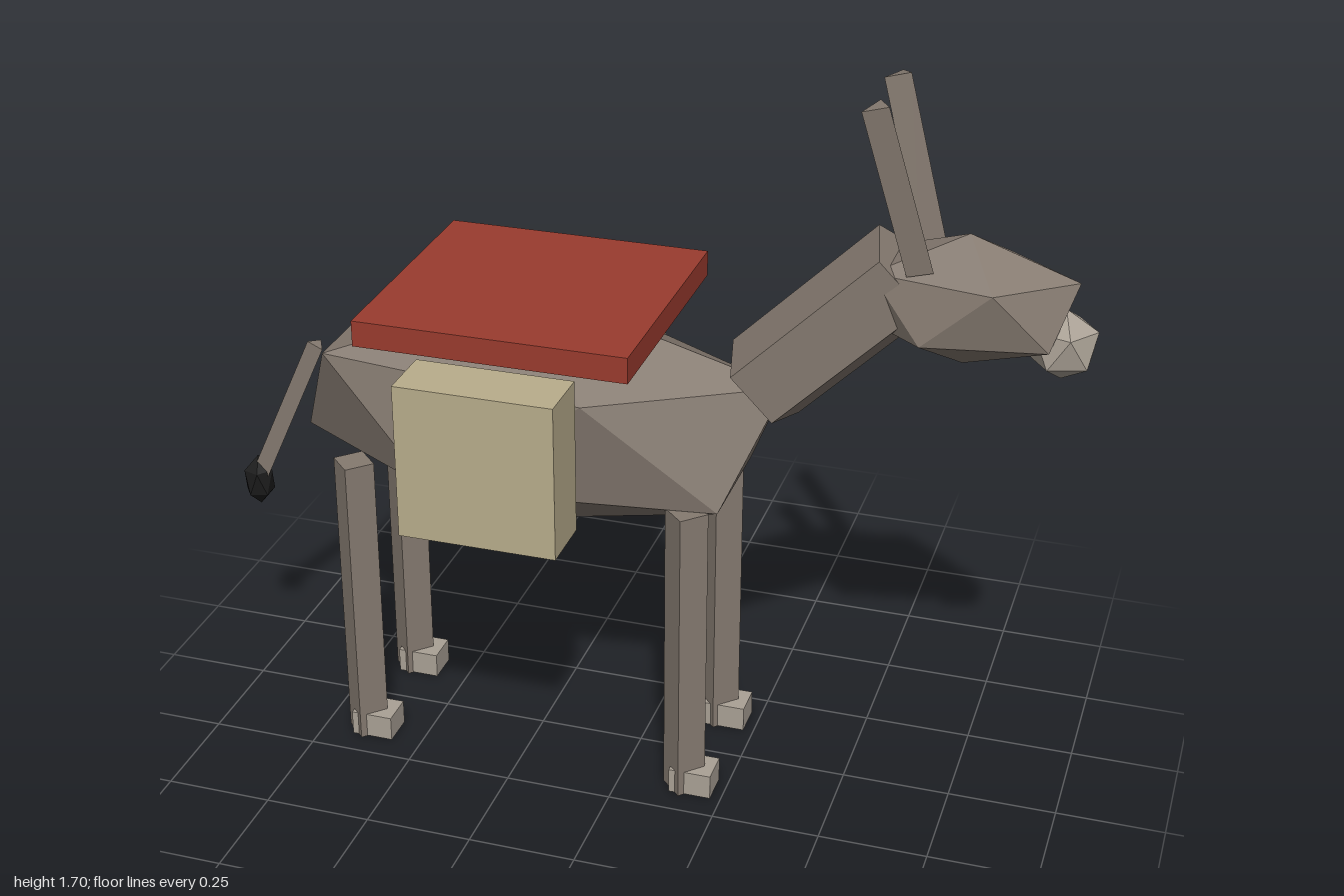
import * as THREE from 'three';

const mat = (name, color) => {
  const m = new THREE.MeshStandardMaterial({ color, flatShading: true });
  m.name = name;
  return m;
};

export function createModel() {
  const group = new THREE.Group();
  const coat = mat('greyBrownCoat', 0x857a70);
  const pale = mat('paleGrey', 0xaaa195);
  const dark = mat('black', 0x1b1b1b);
  const red = mat('redBlanket', 0x9a3b2e);
  const sand = mat('sandCanvas', 0xb9ad8c);

  const add = (name, geometry, material, x, y, z) => {
    const mesh = new THREE.Mesh(geometry, material);
    mesh.name = name;
    mesh.position.set(x, y, z);
    group.add(mesh);
    return mesh;
  };

  const box = (name, material, [w, h, d], [x, y, z]) =>
    add(name, new THREE.BoxGeometry(w, h, d), material, x, y, z);

  // Stretched icosahedron standing on one corner, upper ring pointing to +x
  const gem = (name, material, [rx, ry, rz], [x, y, z]) => {
    const g = new THREE.IcosahedronGeometry(1, 0);
    g.rotateZ(-Math.atan(2 / (1 + Math.sqrt(5))));
    g.scale(rx, ry, rz);
    return add(name, g, material, x, y, z);
  };

  // Prism between two points, with one edge facing -z
  const rod = (name, material, from, to, radius, sides) => {
    const a = new THREE.Vector3(...from), b = new THREE.Vector3(...to);
    const g = new THREE.CylinderGeometry(radius, radius, a.distanceTo(b), sides);
    g.rotateY(Math.PI);
    const mid = a.clone().add(b).multiplyScalar(0.5);
    const mesh = add(name, g, material, mid.x, mid.y, mid.z);
    mesh.quaternion.setFromUnitVectors(new THREE.Vector3(0, 1, 0), b.sub(a).normalize());
    return mesh;
  };

  // Body, neck and head
  gem('body', coat, [0.643, 0.29, 0.268], [-0.245, 0.86, 0]);
  rod('neck', coat, [0.278, 0.995, 0], [0.592, 1.306, 0], 0.115, 5);
  gem('head', coat, [0.263, 0.148, 0.15], [0.715, 1.254, 0]);
  gem('muzzle', pale, [0.08, 0.08, 0.08], [0.924, 1.18, 0]);

  // Tail
  rod('tail', coat, [-0.962, 0.565, 0], [-0.79, 0.94, 0], 0.023, 3);
  gem('tailTuft', dark, [0.039, 0.065, 0.04], [-0.966, 0.555, 0]);

  // Mirrored ears, panniers, legs and hooves
  for (const s of [1, -1]) {
    const side = s > 0 ? 'left' : 'right';
    rod(side + 'Ear', coat, [0.63, 1.335, s * 0.073], [0.528, 1.695, s * 0.108], 0.034, 3);
    box(side + 'Pannier', sand, [0.362, 0.362, 0.14], [-0.246, 0.89, s * 0.335]);
    for (const [end, x] of [['Rear', -0.645], ['Front', 0.152]]) {
      rod(side + end + 'Leg', coat, [x, 0, s * 0.148], [x, 0.73, s * 0.148], 0.05, 4);
      box(side + end + 'Hoof', pale, [0.1, 0.06, 0.08], [x + 0.024, 0.031, s * 0.147]);
    }
  }

  // Saddle blanket
  box('saddle', red, [0.625, 0.06, 0.604], [-0.247, 1.13, 0]);

  return group;
}
